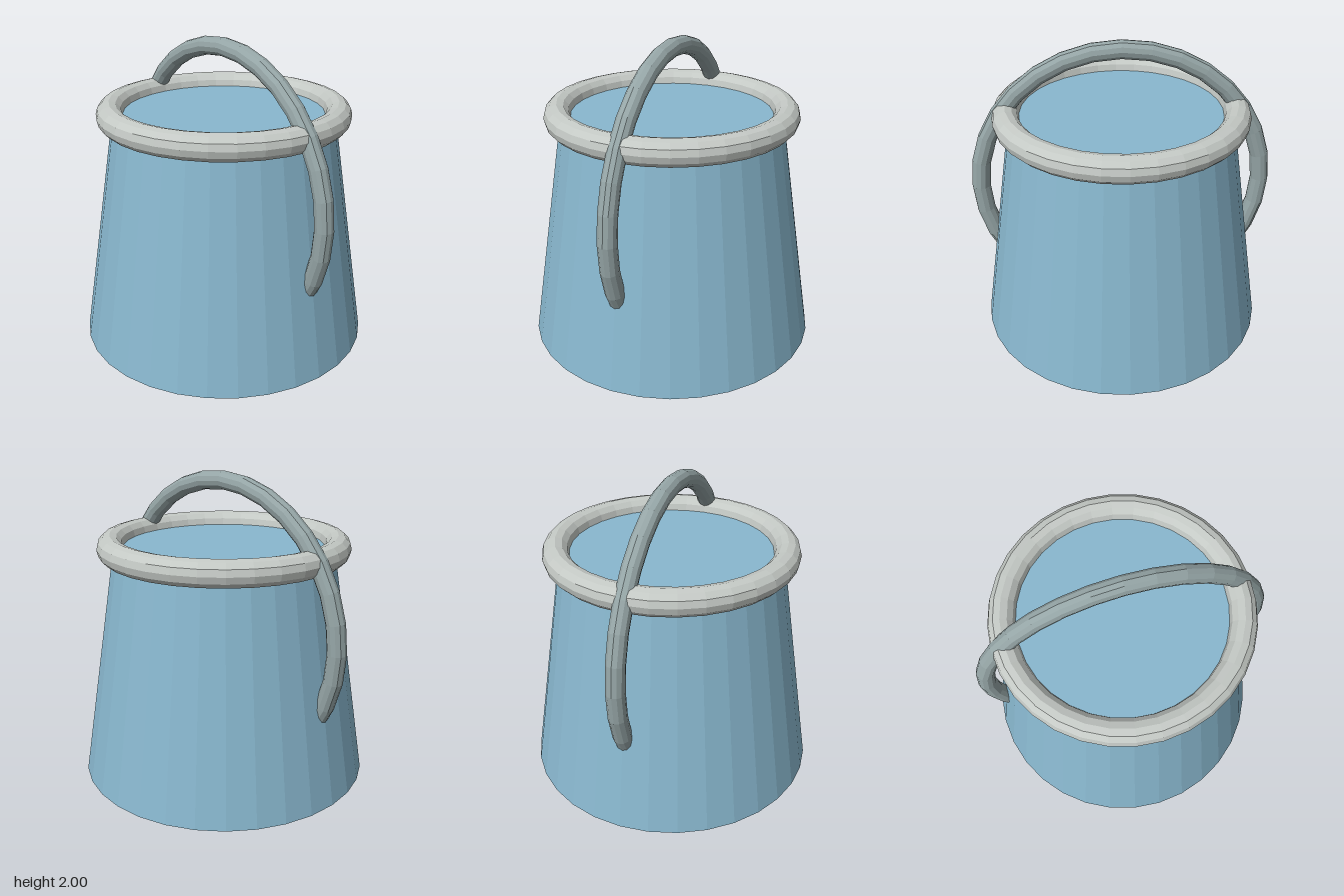
import * as THREE from 'three';

const flat = (name, color) => {
  const material = new THREE.MeshStandardMaterial({ color, flatShading: true });
  material.name = name;
  return material;
};

export function createModel() {
  const group = new THREE.Group();
  group.name = 'bucket';

  const add = (name, geometry, material, y) => {
    const mesh = new THREE.Mesh(geometry, material);
    mesh.name = name;
    mesh.position.y = y;
    group.add(mesh);
    return mesh;
  };

  // Tapered closed body, wide at the base
  const height = 1.525;
  add('body', new THREE.CylinderGeometry(0.716, 0.955, height, 32), flat('paleBlue', 0x89b8cf), height / 2);

  // Thick rim around the top edge
  const rim = new THREE.TorusGeometry(0.735, 0.085, 12, 32).rotateX(Math.PI / 2);
  add('rim', rim, flat('lightGrey', 0xc4c9c5), height);

  // Hoop handle whose two ends sink into the body
  const handle = new THREE.TorusGeometry(0.93, 0.06, 12, 24, Math.PI * 1.5).rotateZ(-Math.PI / 4);
  add('handle', handle, flat('steelGrey', 0x95a5a6), 1.01);

  return group;
}
